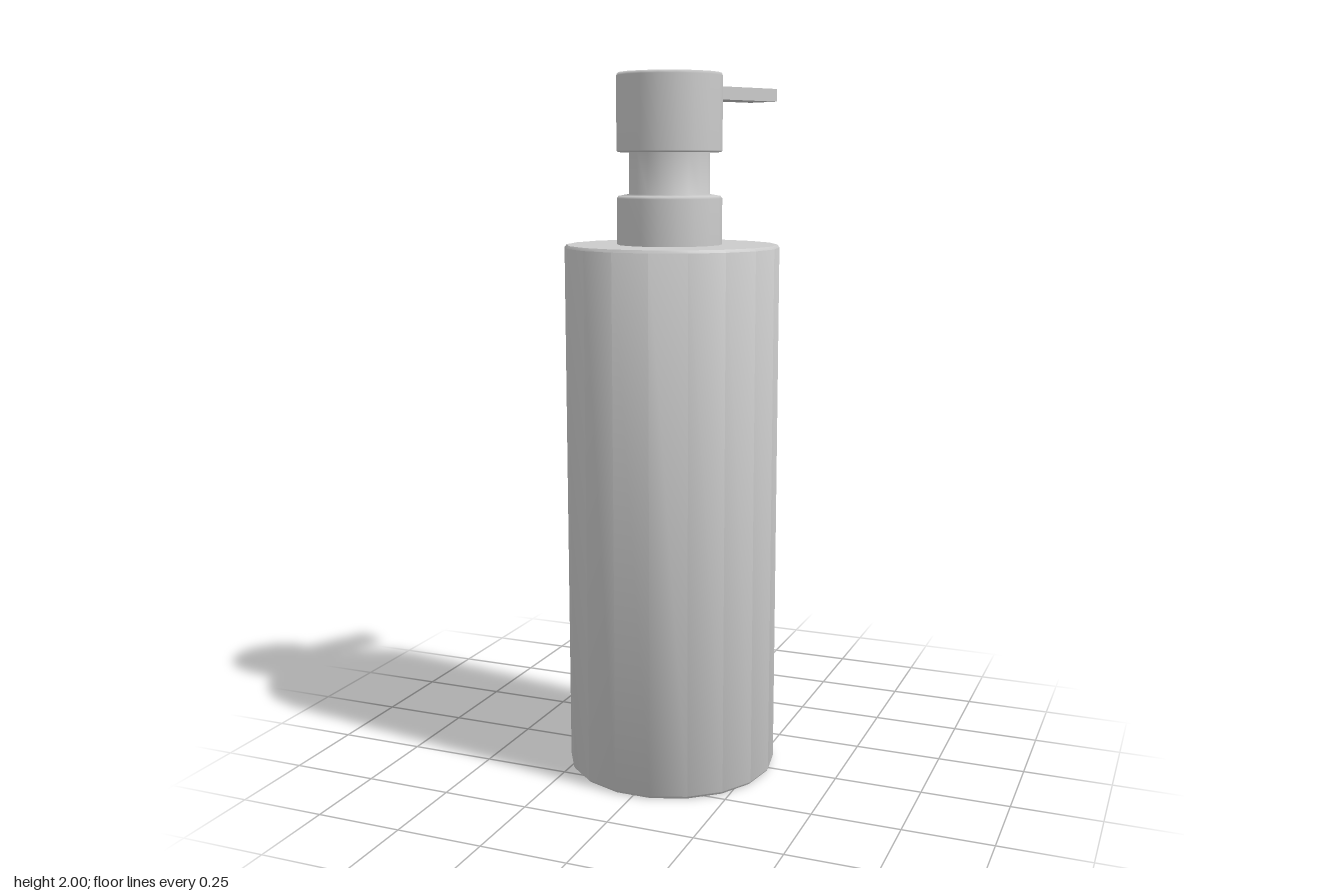
import * as THREE from 'three';
import { toCreasedNormals } from 'three/addons/utils/BufferGeometryUtils.js';

const SIDES = 18;
const material = new THREE.MeshStandardMaterial({ color: 0xcccccc });

// 18-sided turned part, with corners on the x axis; profile runs bottom to top
function turned(profile) {
  const points = profile.map(([r, y]) => new THREE.Vector2(r, y));
  return new THREE.LatheGeometry(points, SIDES, Math.PI / 2);
}

function part(name, geometry) {
  const mesh = new THREE.Mesh(geometry, material);
  mesh.name = name;
  return mesh;
}

export function createModel() {
  const model = new THREE.Group();
  model.name = 'soapDispenser';

  // Tall bottle with finely bevelled rims
  const bottle = part('bottle', toCreasedNormals(turned([
    [0, 0], [0.297, 0], [0.303, 0.008], [0.303, 1.522], [0.297, 1.53], [0, 1.53],
  ]), 0.7));
  bottle.position.z = 0.027;
  model.add(bottle);

  // Pump sits slightly off the bottle's axis
  const pump = new THREE.Group();
  pump.name = 'pump';
  pump.position.set(-0.008, 0, 0.024);
  model.add(pump);

  // Collar and neck share one smooth profile
  pump.add(part('collarAndNeck', turned([
    [0.148, 1.525], [0.148, 1.658], [0.143, 1.665], [0.113, 1.67], [0.113, 1.79],
  ])));

  // Press head, softly shaded over its flat top
  pump.add(part('pressHead', turned([
    [0, 1.785], [0.145, 1.785], [0.148, 1.79], [0.148, 1.992], [0.145, 2], [0, 2],
  ])));

  // Flat spout pointing to the back left
  const inner = 0.12, outer = 0.3685;
  const spoutGeometry = new THREE.BoxGeometry(0.108, 0.036, outer - inner);
  spoutGeometry.translate(0, 1.949, -(inner + outer) / 2);
  const spout = part('spout', spoutGeometry);
  spout.rotation.y = -0.468;
  pump.add(spout);

  return model;
}
